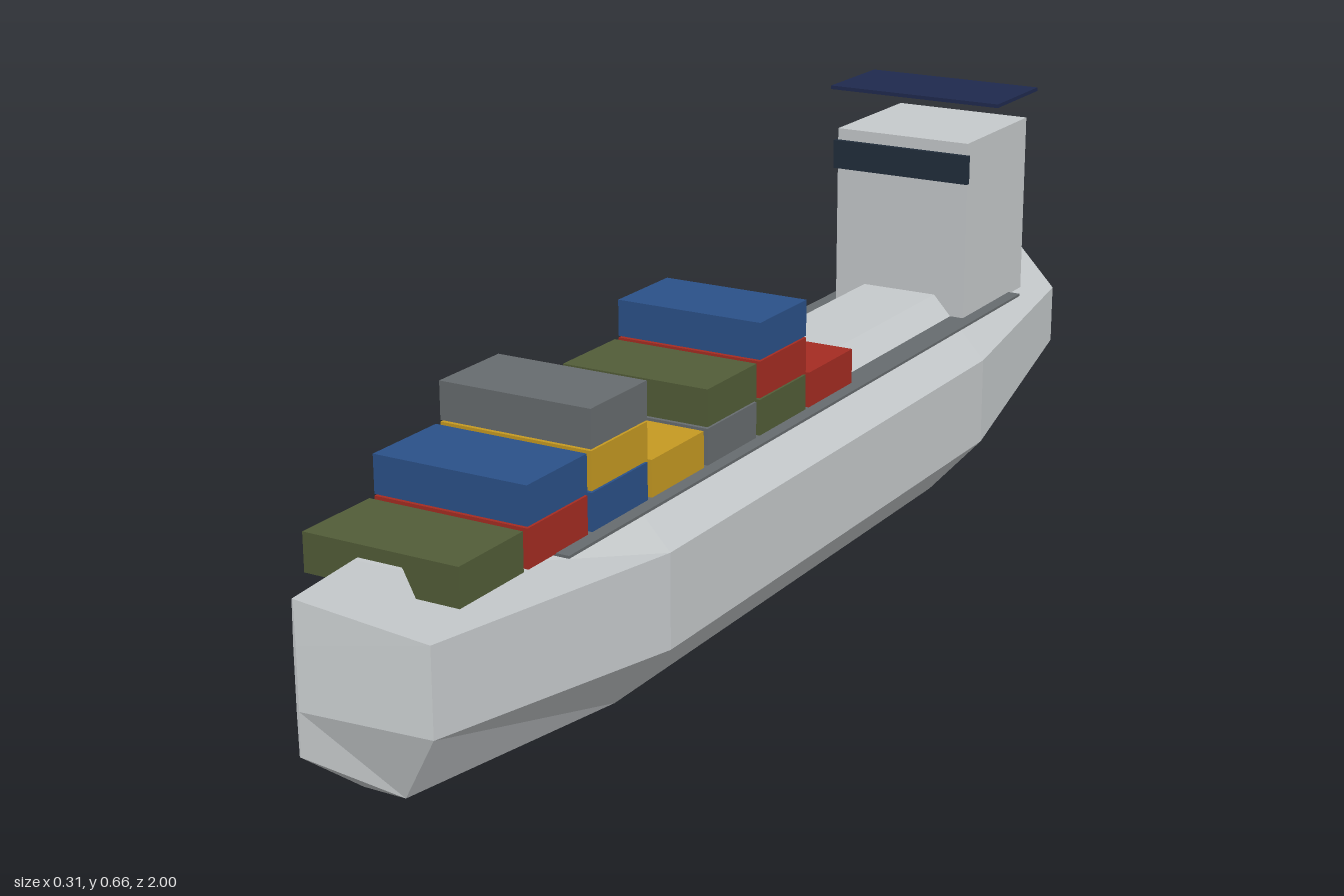
import * as THREE from 'three';

const mat = (name, color, extra = {}) => {
  const m = new THREE.MeshStandardMaterial({ color, ...extra });
  m.name = name;
  return m;
};

// Octagonal hull lofted through sections [z, centreY, radiusX, radiusY], stern to bow
function hullGeometry(sections) {
  const n = 8, pos = [], idx = [];
  for (const [z, cy, rx, ry] of sections) {
    for (let j = 0; j < n; j++) {
      const a = ((j + 0.5) / n) * Math.PI * 2;
      pos.push(rx * Math.cos(a), cy + ry * Math.sin(a), z);
    }
  }
  const last = (sections.length - 1) * n;
  for (let i = 0; i < last; i += n) {
    for (let j = 0; j < n; j++) {
      const k = (j + 1) % n;
      idx.push(i + j, i + k, i + n + k, i + j, i + n + k, i + n + j);
    }
  }
  // end caps
  for (let j = 1; j < n - 1; j++) {
    idx.push(0, j + 1, j, last, last + j, last + j + 1);
  }
  const g = new THREE.BufferGeometry();
  g.setAttribute('position', new THREE.Float32BufferAttribute(pos, 3));
  g.setIndex(idx);
  const flat = g.toNonIndexed();
  flat.computeVertexNormals();
  return flat;
}

export function createModel() {
  const ship = new THREE.Group();
  ship.name = 'containerShip';

  const paleGrey = mat('paleGrey', 0xc6cacc, { flatShading: true });
  const grey = mat('grey', 0x676c6f);
  const navy = mat('navy', 0x1f2a4e);
  const glass = mat('darkGlass', 0x212d3b);
  const red = mat('red', 0xa52c22);
  const blue = mat('blue', 0x2b5189);
  const olive = mat('olive', 0x525d38);
  const yellow = mat('yellow', 0xc69a22);

  const box = (name, material, size, at, parent = ship) => {
    const m = new THREE.Mesh(new THREE.BoxGeometry(...size), material);
    m.name = name;
    m.position.set(...at);
    parent.add(m);
    return m;
  };

  // Hull
  const hull = new THREE.Mesh(hullGeometry([
    [-0.99, 0.219, 0.12, 0.127],
    [-0.6, 0.174, 0.169, 0.185],
    [0.4, 0.174, 0.169, 0.185],
    [0.84, 0.194, 0.086, 0.167],
    [1.0, 0.258, 0.002, 0.111],
  ]), paleGrey);
  hull.name = 'hull';
  ship.add(hull);

  // Deck plate that juts out past the hull shoulders
  box('deck', grey, [0.278, 0.004, 1.4], [0, 0.31, -0.08]);

  // Bridge tower, window band and floating roof
  box('bridgeTower', paleGrey, [0.236, 0.297, 0.232], [0, 0.457, -0.714]);
  box('bridgeWindow', glass, [0.244, 0.047, 0.009], [0, 0.563, -0.594]);
  box('bridgeRoof', navy, [0.304, 0.006, 0.158], [0, 0.664, -0.714]);

  // Container stacks, bow to stern, each listed from the bottom up
  const cargo = new THREE.Group();
  cargo.name = 'cargo';
  ship.add(cargo);
  const stacks = [
    [olive], [red, blue], [blue, yellow, grey], [yellow],
    [grey, olive], [olive, red, blue], [red],
  ];
  stacks.forEach((stack, i) => stack.forEach((material, level) => {
    box('container', material, [0.238, 0.055, 0.138],
      [0, 0.3385 + level * 0.0575, 0.762 - i * 0.1485], cargo);
  }));

  // Propeller: two crossed blades on the stern
  const propeller = new THREE.Group();
  propeller.name = 'propeller';
  propeller.position.set(0, 0.158, -0.994);
  ship.add(propeller);
  box('propellerBlade', olive, [0.012, 0.11, 0.012], [0, 0, 0], propeller);
  box('propellerBlade', olive, [0.11, 0.012, 0.012], [0, 0, 0], propeller);

  return ship;
}
